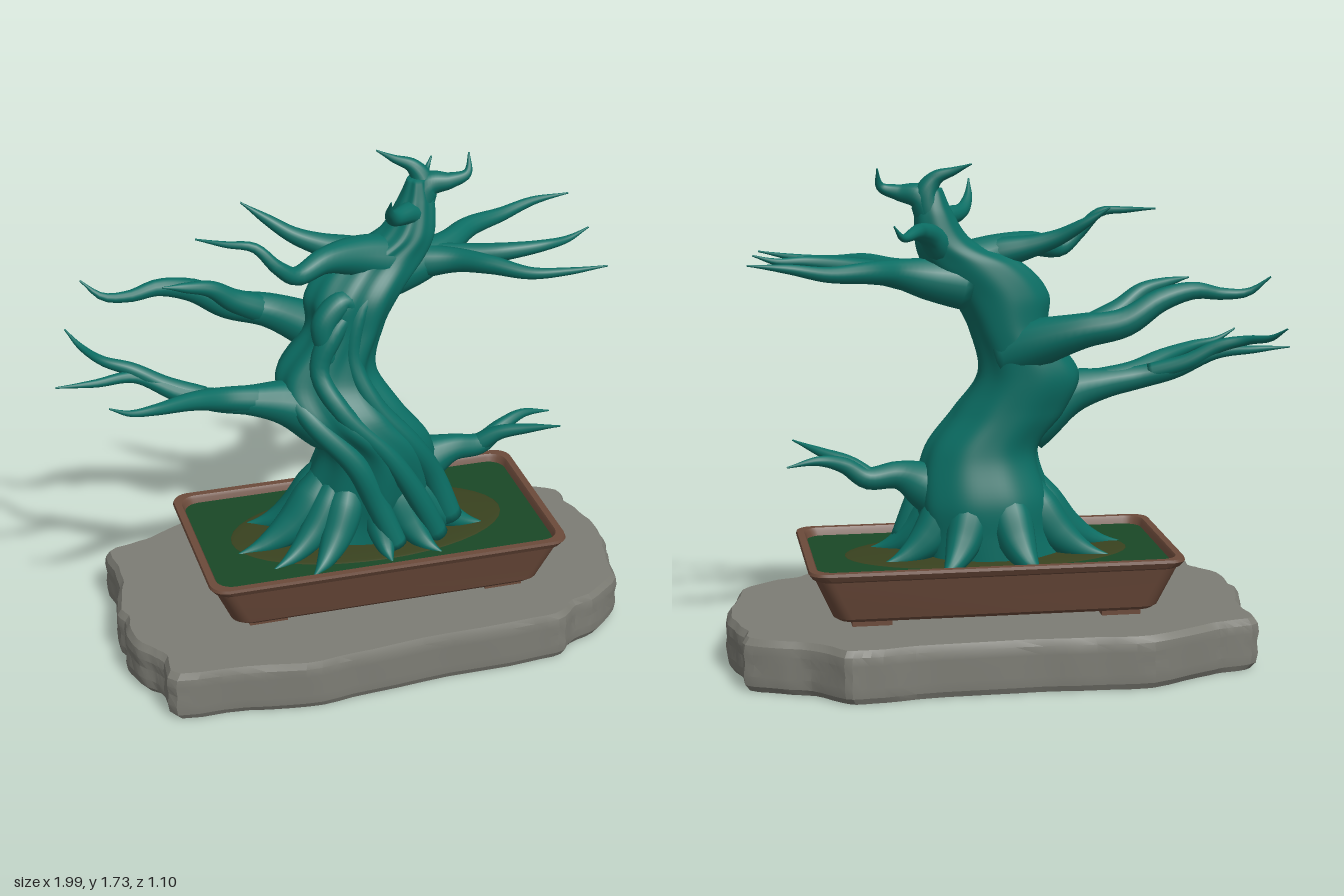
import * as THREE from 'three';
import { toCreasedNormals } from 'three/addons/utils/BufferGeometryUtils.js';

const wood = new THREE.MeshStandardMaterial({ color: 0x0b6e64 });
const clay = new THREE.MeshStandardMaterial({ color: 0x6b4a3a });
const moss = new THREE.MeshStandardMaterial({ color: 0x1a4826 });
const earth = new THREE.MeshStandardMaterial({ color: 0x39421f });
const stone = new THREE.MeshStandardMaterial({ color: 0x7d7d75 });
const V = (x, y, z) => new THREE.Vector3(x, y, z);

// Skin a stack of equal-sized closed rings and close both ends
function loft(rings) {
  const n = rings[0].length, pos = [], idx = [];
  rings.forEach(r => r.forEach(p => pos.push(p.x, p.y, p.z)));
  for (let i = 0; i < rings.length - 1; i++)
    for (let j = 0; j < n; j++) {
      const a = i * n + j, b = i * n + (j + 1) % n;
      idx.push(a, b, a + n, b, b + n, a + n);
    }
  [0, rings.length - 1].forEach((k, end) => {
    const c = rings[k].reduce((s, p) => s.add(p), V(0, 0, 0)).divideScalar(n);
    const ci = pos.length / 3;
    pos.push(c.x, c.y, c.z);
    for (let j = 0; j < n; j++) {
      const a = k * n + j, b = k * n + (j + 1) % n;
      if (end) idx.push(a, b, ci); else idx.push(b, a, ci);
    }
  });
  const g = new THREE.BufferGeometry();
  g.setAttribute('position', new THREE.Float32BufferAttribute(pos, 3));
  g.setIndex(idx);
  g.computeVertexNormals();
  return g;
}

// Tapered limb through points [x, y, z, radius]
function limb(pts, steps = 36, sides = 14) {
  const path = new THREE.CatmullRomCurve3(pts.map(p => V(p[0], p[1], p[2])));
  const radius = new THREE.SplineCurve(pts.map((p, i) => new THREE.Vector2(i, p[3])));
  const f = path.computeFrenetFrames(steps);
  const rings = [];
  for (let i = 0; i <= steps; i++) {
    const c = path.getPointAt(i / steps);
    const r = Math.max(0.003, radius.getPoint(path.getUtoTmapping(i / steps)).y);
    rings.push(Array.from({ length: sides }, (_, j) => {
      const a = j / sides * Math.PI * 2;
      return c.clone().addScaledVector(f.normals[i], r * Math.cos(a))
        .addScaledVector(f.binormals[i], r * Math.sin(a));
    }));
  }
  return loft(rings);
}

// Trunk from rows [x, y, z, halfWidth, halfDepth], fluted mainly on its front
function trunk(rows, steps = 90, sides = 72) {
  const mid = new THREE.CatmullRomCurve3(rows.map(r => V(r[0], r[1], r[2])));
  const size = new THREE.CatmullRomCurve3(rows.map((r, i) => V(r[3], r[4], i)));
  return loft(Array.from({ length: steps + 1 }, (_, i) => {
    const c = mid.getPoint(i / steps), s = size.getPoint(i / steps);
    return Array.from({ length: sides }, (_, j) => {
      const a = j / sides * Math.PI * 2;
      const front = 0.6 - 0.4 * Math.sin(a);
      const k = 0.98 + front * (0.04 * Math.sin(5 * a - 5 * c.y) + 0.035 * Math.sin(9 * a + 4 * c.y + 1));
      return V(c.x + s.x * k * Math.cos(a), c.y, c.z - s.y * k * Math.sin(a));
    });
  }));
}

// Rounded rectangle ring in the ground plane
function rectRing(hx, hz, r, y, cx) {
  const ring = [];
  [[1, -1], [-1, -1], [-1, 1], [1, 1]].forEach(([sx, sz], q) => {
    for (let i = 0; i <= 6; i++) {
      const a = (q + i / 6) * Math.PI / 2;
      ring.push(V(cx + sx * (hx - r) + r * Math.cos(a), y, sz * (hz - r) - r * Math.sin(a)));
    }
  });
  return ring;
}

export function createModel() {
  const model = new THREE.Group();
  const add = (name, geo, mat, parent = model) => {
    const m = new THREE.Mesh(geo, mat);
    m.name = name;
    parent.add(m);
    return m;
  };
  const limbs = (name, list) => {
    const g = new THREE.Group();
    g.name = name;
    list.forEach((pts, i) => add(name + (i + 1), limb(pts), wood, g));
    model.add(g);
  };

  // Ragged stone slab with upright chips along its edge
  const edge = [[-.8, -.37], [-.7, -.4], [-.62, -.43], [-.41, -.53], [-.2, -.525], [0, -.515], [.38, -.525], [.55, -.55],
    [.64, -.54], [.72, -.45], [.83, -.4], [.95, -.34], [.955, -.25], [.985, -.15], [1, -.03], [.985, .08],
    [.965, .15], [.935, .29], [.82, .39], [.72, .43], [.68, .475], [.55, .495], [.2, .505], [-.1, .53], [-.28, .545],
    [-.5, .505], [-.74, .478], [-.75, .35], [-.79, .3], [-.835, .2], [-.825, .1], [-.84, .02], [-.81, -.1], [-.795, -.2]];
  const outline = new THREE.CatmullRomCurve3(edge.map(([x, z]) => V(x, 0, z)).reverse(), true, 'centripetal')
    .getPoints(110).slice(0, -1);
  const layers = [[.004, .975], [.025, .994], [.06, 1], [.1, .994], [.135, 1], [.165, .995], [.188, .978]];
  const slab = loft(layers.map(([y, s], k) => outline.map((p, j) => {
    const w = s + 0.004 * Math.sin(j * 1.7 + k * 0.3);
    return V(.08 + (p.x - .08) * w, y, p.z * w);
  })));
  add('stoneSlab', toCreasedNormals(slab, 0.3), stone);

  // Shallow hollow pot: outer wall, rim, inner wall, floor
  const cx = .085;
  const pot = [[.545, .28, .21], [.56, .292, .222], [.622, .325, .36], [.632, .335, .366], [.645, .345, .385],
    [.642, .342, .395], [.618, .318, .395], [.612, .312, .385], [.6, .3, .33]];
  add('pot', toCreasedNormals(loft(pot.map(([x, z, y]) => rectRing(x, z, .06, y, cx))), 0.5), clay);
  for (const sx of [-1, 1]) for (const sz of [-1, 1]) {
    const foot = add('potFoot', new THREE.BoxGeometry(.135, .04, .1), clay);
    foot.position.set(cx + sx * .43, .2, sz * .21);
  }

  // Mossy soil with barer earth around the trunk
  add('soil', toCreasedNormals(loft([rectRing(.604, .304, .055, .34, cx), rectRing(.609, .309, .055, .368, cx)]), 0.5), moss);
  const mound = add('bareEarth', new THREE.SphereGeometry(1, 40, 12, 0, Math.PI * 2, 0, Math.PI / 2), earth);
  mound.scale.set(.5, .012, .25);
  mound.position.set(cx, .367, 0);

  // Leaning trunk
  add('trunk', trunk([[.06, .35, -.02, .25, .17], [.08, .45, -.02, .235, .175], [.095, .57, -.01, .235, .19],
    [.095, .73, .02, .2, .18], [-.005, .87, .02, .2, .175], [-.06, 1, -.02, .18, .145], [.01, 1.16, -.03, .14, .13],
    [.045, 1.28, -.035, .17, .125], [.14, 1.39, -.06, .17, .1], [.24, 1.47, -.07, .1, .085],
    [.275, 1.57, -.08, .065, .06], [.28, 1.65, -.08, .035, .035]]), wood);

  // Ridges of old wood winding up the front
  limbs('trunkRidge', [
    [[.3, .38, .15, .04], [.22, .55, .165, .04], [.1, .75, .18, .035], [-.05, .92, .15, .035], [-.11, 1.05, .085, .035], [-.06, 1.18, .07, .04], [.05, 1.29, .04, .02]],
    [[.14, .38, .18, .04], [.07, .55, .165, .042], [-.01, .72, .165, .042], [-.13, .86, .125, .04], [-.21, .96, .06, .03]],
    [[.37, .4, .08, .045], [.3, .58, .08, .045], [.2, .75, .125, .04], [.07, .92, .12, .035], [.01, 1.08, .08, .03], [.04, 1.25, .06, .03], [.15, 1.36, .01, .02]],
    [[-.04, 1.02, .07, .02], [-.08, 1.12, .07, .035], [-.085, 1.22, .06, .045], [-.01, 1.285, .05, .04], [.03, 1.2, .075, .015]]
  ]);

  // Roots gripping the soil: [tip x, tip z, thickness]
  limbs('root', [[-.39, .07, .075], [-.32, -.12, .075], [-.18, .275, .065], [.1, .26, .06], [.28, .245, .065], [.48, .1, .075],
    [.45, -.12, .075], [.27, -.29, .07], [-.05, -.31, .075], [-.3, .2, .06]
  ].map(([x, z, r]) => {
    const at = (k, y, s) => [.08 + (x - .08) * k, y, z * k, r * s];
    return [at(.3, .64, .6), at(.42, .53, 1), at(.6, .435, .85), at(.82, .38, .45), at(1.04, .362, .06)];
  }));

  // Low left branch forking three ways
  limbs('lowLeftBranch', [
    [[-.05, .83, .02, .12], [-.2, .915, .03, .085], [-.33, .945, .03, .055], [-.46, .965, .03, .042], [-.58, .995, .0, .034], [-.72, 1.055, -.04, .022], [-.86, 1.06, -.02, .014], [-.995, 1.065, -.015, .003]],
    [[-.5, .98, .02, .034], [-.62, 1.02, -.02, .03], [-.73, 1.08, -.05, .024], [-.82, 1.105, -.09, .017], [-.88, 1.125, -.18, .011], [-.92, 1.165, -.24, .003]],
    [[-.3, .945, .03, .05], [-.44, .975, .05, .042], [-.56, 1.015, .11, .032], [-.7, 1.045, .19, .019], [-.79, 1.06, .22, .011], [-.86, 1.095, .235, .003]]
  ]);

  // Middle left branch, swept to the back
  limbs('midLeftBranch', [
    [[.02, 1.08, -.05, .1], [-.1, 1.13, -.13, .08], [-.22, 1.17, -.19, .06], [-.36, 1.2, -.215, .05], [-.48, 1.27, -.21, .04], [-.6, 1.3, -.2, .03], [-.7, 1.285, -.19, .021], [-.79, 1.29, -.2, .014], [-.86, 1.345, -.23, .003]],
    [[-.25, 1.18, -.19, .05], [-.35, 1.235, -.17, .04], [-.43, 1.295, -.15, .029], [-.52, 1.32, -.13, .018], [-.6, 1.335, -.12, .003]]
  ]);

  // Upper left branch
  limbs('upperLeftBranch', [
    [[.18, 1.37, -.06, .09], [.05, 1.415, -.02, .07], [-.08, 1.44, .04, .045], [-.19, 1.42, .09, .032], [-.26, 1.47, .11, .024], [-.33, 1.54, .09, .017], [-.42, 1.55, .06, .011], [-.51, 1.558, .01, .003]],
    [[.05, 1.42, -.04, .055], [-.07, 1.45, -.08, .038], [-.15, 1.48, -.11, .028], [-.23, 1.53, -.15, .018], [-.31, 1.585, -.185, .003]]
  ]);

  // Upper right branch fanning into three
  limbs('upperRightBranch', [
    [[.16, 1.32, -.06, .09], [.3, 1.345, -.08, .072], [.41, 1.37, -.13, .048], [.51, 1.385, -.21, .037], [.65, 1.39, -.27, .026], [.78, 1.415, -.3, .016], [.915, 1.43, -.3, .003]],
    [[.3, 1.345, -.08, .06], [.44, 1.36, -.04, .042], [.57, 1.38, .01, .031], [.7, 1.395, .03, .02], [.8, 1.4, .01, .012], [.88, 1.425, -.01, .003]],
    [[.28, 1.345, -.07, .06], [.4, 1.365, 0, .042], [.49, 1.38, .1, .032], [.6, 1.375, .19, .021], [.72, 1.385, .23, .013], [.845, 1.405, .265, .003]]
  ]);

  // Crown twigs
  limbs('crownTwig', [
    [[.275, 1.53, -.08, .055], [.3, 1.63, -.09, .042], [.27, 1.685, -.1, .026], [.21, 1.71, -.12, .014], [.155, 1.735, -.15, .003]],
    [[.275, 1.53, -.08, .055], [.32, 1.62, -.08, .045], [.39, 1.635, -.06, .028], [.45, 1.655, -.06, .016], [.465, 1.718, -.09, .003]],
    [[.29, 1.52, -.08, .05], [.23, 1.545, -.03, .038], [.165, 1.56, .03, .026], [.135, 1.6, .08, .016], [.125, 1.66, .125, .003]],
    [[.25, 1.45, -.09, .06], [.3, 1.5, -.16, .04], [.34, 1.52, -.24, .03], [.37, 1.53, -.34, .022], [.42, 1.525, -.42, .012], [.45, 1.565, -.45, .003]]
  ]);

  // Low right branch
  limbs('lowRightBranch', [
    [[.18, .54, 0, .11], [.3, .61, .01, .085], [.39, .645, .02, .05], [.5, .64, .01, .038], [.58, .69, 0, .028], [.67, .715, -.03, .017], [.78, .7, -.05, .003]],
    [[.49, .64, .01, .034], [.56, .69, .04, .026], [.65, .72, .09, .017], [.745, .752, .16, .003]]
  ]);

  return model;
}
